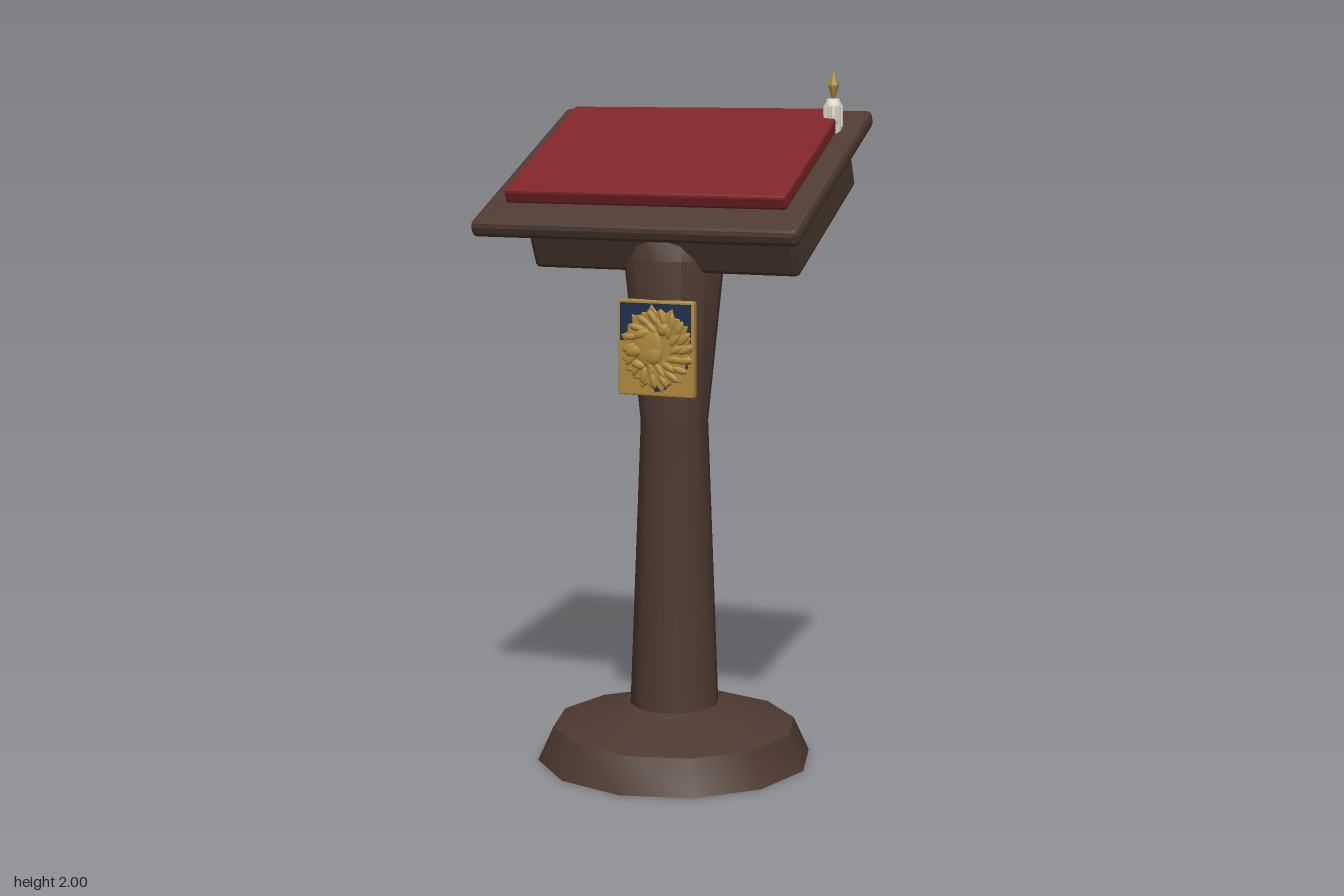
import * as THREE from 'three';
import { toCreasedNormals } from 'three/addons/utils/BufferGeometryUtils.js';
import { RoundedBoxGeometry } from 'three/addons/geometries/RoundedBoxGeometry.js';

const mat = (name, color) => Object.assign(new THREE.MeshStandardMaterial({ color }), { name });

export function createModel() {
  const wood = mat('dark wood', 0x4e3a31);
  const red = mat('red leather', 0x7e2528);
  const gold = mat('gold', 0xb08a3e);
  const navy = mat('navy enamel', 0x1f304c);
  const wax = mat('candle wax', 0xdcd8cc);

  const model = new THREE.Group();
  model.name = 'lectern';

  const add = (parent, name, geometry, material, x = 0, y = 0, z = 0) => {
    const mesh = new THREE.Mesh(geometry, material);
    mesh.name = name;
    mesh.position.set(x, y, z);
    parent.add(mesh);
    return mesh;
  };
  const lathe = (points, sides, crease = 0.6) => toCreasedNormals(
    new THREE.LatheGeometry(points.map(([r, y]) => new THREE.Vector2(r, y)), sides), crease);
  const chamferBox = (w, h, d, r) => toCreasedNormals(new RoundedBoxGeometry(w, h, d, 1, r), 0.3);

  // Twelve-sided foot and column turned as one piece
  add(model, 'pedestal', lathe([
    [0, 0], [0.403, 0], [0.357, 0.1], [0.13, 0.163], [0.098, 1.0],
    [0.145, 1.47], [0.125, 1.53], [0, 1.53],
  ], 12), wood, 0, 0, 0.008);

  // Sloping reading desk
  const desk = new THREE.Group();
  desk.name = 'desk';
  desk.position.set(0, 1.71, 0.007);
  desk.rotation.x = THREE.MathUtils.degToRad(25.5);
  model.add(desk);
  add(desk, 'deskTop', chamferBox(0.97, 0.05, 0.72, 0.016), wood);
  add(desk, 'deskBox', chamferBox(0.81, 0.198, 0.546, 0.015), wood, 0, -0.12, -0.084);
  add(desk, 'readingPad', chamferBox(0.84, 0.042, 0.53, 0.008), red, 0, 0.044, -0.023);
  // Wax that ran through to the underside
  add(desk, 'waxDrip', new THREE.CylinderGeometry(0.046, 0.03, 0.035, 12), wax, 0.4, -0.036, 0.236);

  // Candle with running wax and a six-sided flame
  const candle = new THREE.Group();
  candle.name = 'candle';
  candle.position.set(0.405, 0, -0.188);
  model.add(candle);
  add(candle, 'candleBody', lathe([
    [0, 1.755], [0.022, 1.755], [0.026, 1.84], [0.026, 1.9], [0.017, 1.919], [0, 1.915],
  ], 12), wax);
  for (let i = 0; i < 8; i++) {
    const a = (i / 8) * Math.PI * 2;
    const length = 0.03 + 0.012 * (i % 3);
    add(candle, 'waxRun', new THREE.CapsuleGeometry(0.005, length, 2, 6), wax,
      0.025 * Math.sin(a), 1.895 - length / 2, 0.025 * Math.cos(a));
  }
  add(candle, 'flame', lathe([[0, 1.91], [0.006, 1.925], [0.016, 1.955], [0.006, 1.98], [0, 2]], 6, 0.4), gold);

  // Plaque on the column
  const plaque = new THREE.Group();
  plaque.name = 'plaque';
  plaque.position.set(0, 1.225, 0.134);
  model.add(plaque);
  add(plaque, 'plaqueBack', chamferBox(0.232, 0.272, 0.024, 0.004), gold);

  const plate = (name, points) => add(plaque, name, new THREE.ExtrudeGeometry(
    new THREE.Shape(points.map(([x, y]) => new THREE.Vector2(x, y))),
    { depth: 0.002, bevelEnabled: false }), navy, 0, 0, 0.0115);
  plate('upperField', [[-0.108, 0.02], [0.108, 0.02], [0.108, 0.127], [-0.108, 0.127]]);
  plate('lowerField', [[-0.02, -0.09], [0, -0.125], [0.03, -0.115], [0.1, -0.05], [0.08, 0]]);

  // Ragged mane outline
  const mane = new THREE.Shape();
  const teeth = 44;
  for (let i = 0; i < teeth; i++) {
    const a = (i / teeth) * Math.PI * 2;
    const r = i % 2 ? 0.094 : 0.107 + 0.006 * Math.sin(i * 1.7);
    const x = 0.004 + r * Math.cos(a);
    const y = r * 1.08 * Math.sin(a);
    i ? mane.lineTo(x, y) : mane.moveTo(x, y);
  }
  add(plaque, 'mane', new THREE.ExtrudeGeometry(mane, {
    depth: 0.004, bevelThickness: 0.003, bevelSize: 0.003, bevelSegments: 1,
  }), gold, 0, 0, 0.01);

  // Raised relief: lumps squashed against the plaque
  const lump = (name, x, y, w, h, turn = 0, depth = 0.009, z = 0.016) => {
    const mesh = add(plaque, name, new THREE.SphereGeometry(1, 12, 8), gold, x, y, z);
    mesh.scale.set(w, h, depth);
    mesh.rotation.z = turn;
  };
  for (const [ring, count] of [[0.085, 18], [0.06, 13]]) {
    for (let i = 0; i < count; i++) {
      const a = (i / count) * Math.PI * 2;
      if (ring < 0.07 && Math.cos(a) < -0.4) continue;
      lump('maneLock', 0.008 + ring * Math.cos(a), ring * 1.05 * Math.sin(a), 0.026, 0.01, a + 0.45, 0.007);
    }
  }
  lump('face', -0.02, 0.005, 0.046, 0.06, 0.2);
  lump('brow', -0.04, 0.04, 0.028, 0.014, 0.4, 0.011);
  lump('cheek', -0.008, -0.018, 0.028, 0.03, 0, 0.011);
  lump('muzzle', -0.062, -0.01, 0.03, 0.018, 0.2, 0.011);
  lump('chin', -0.052, -0.048, 0.022, 0.014, -0.3, 0.01);
  lump('ear', 0.025, 0.055, 0.016, 0.02, -0.4, 0.011);

  return model;
}
